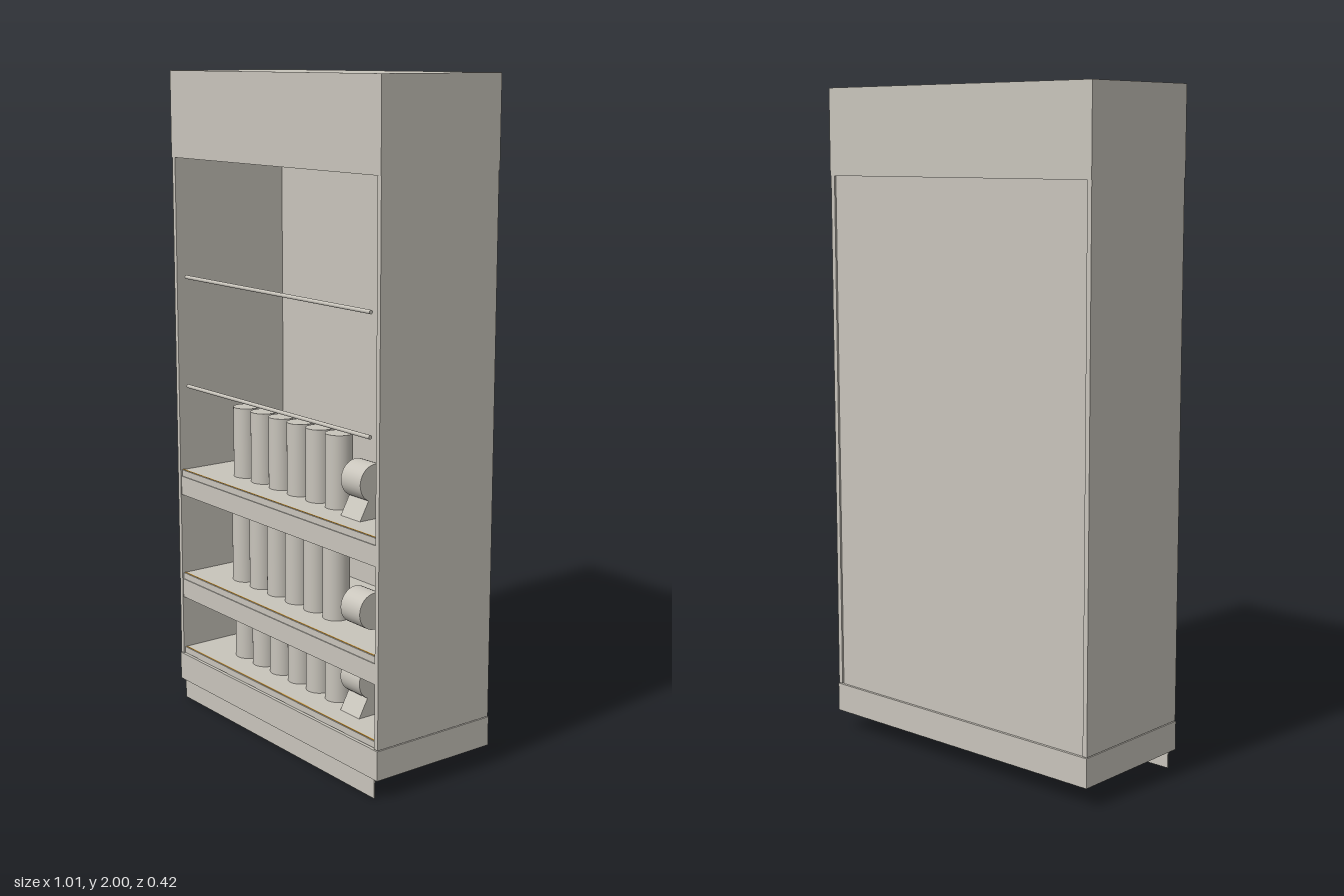
import * as THREE from 'three';

export function createModel() {
  const root = new THREE.Group();
  const stone = new THREE.MeshStandardMaterial({ color: 0xc8c4bb });
  stone.name = 'warm grey';
  const gold = new THREE.MeshStandardMaterial({ color: 0xc8963c });
  gold.name = 'gold trim';

  const add = (name, geometry, x, y, z, parent = root, material = stone) => {
    const mesh = new THREE.Mesh(geometry, material);
    mesh.name = name;
    mesh.position.set(x, y, z);
    parent.add(mesh);
    return mesh;
  };
  // Box given by its lower and upper limits on each axis
  const box = (name, x0, x1, y0, y1, z0, z1, parent, material) =>
    add(name, new THREE.BoxGeometry(x1 - x0, y1 - y0, z1 - z0),
      (x0 + x1) / 2, (y0 + y1) / 2, (z0 + z1) / 2, parent, material);

  // Cabinet shell
  box('header', -0.505, 0.505, 1.74, 2, -0.21, 0.21);
  box('base', -0.505, 0.505, 0.06, 0.148, -0.21, 0.21);
  box('kickPlate', -0.485, 0.485, 0, 0.06, 0.2, 0.205);
  box('backPanel', -0.49, 0.49, 0.148, 1.74, -0.202, -0.194);
  for (const s of [-1, 1]) {
    const side = box('sidePanel', -0.0075, 0.0075, 0.15, 1.74, -0.208, 0.208);
    side.position.x = s * 0.4965;
  }

  // Slim front rails
  for (const y of [1.035, 1.377]) {
    const rail = add('rail', new THREE.CylinderGeometry(0.006, 0.006, 0.905, 12), 0, y, 0.198);
    rail.rotation.z = Math.PI / 2;
  }

  // Shelves with their goods
  const canGeometry = new THREE.CylinderGeometry(0.041, 0.041, 0.22, 32);
  const rollGeometry = new THREE.CylinderGeometry(0.055, 0.055, 0.088, 32).rotateZ(Math.PI / 2);
  const standProfile = new THREE.Shape([
    new THREE.Vector2(-0.055, 0), new THREE.Vector2(0.055, 0),
    new THREE.Vector2(0.022, 0.06), new THREE.Vector2(-0.022, 0.06),
  ]);
  const standGeometry = new THREE.ExtrudeGeometry(standProfile, { depth: 0.088, bevelEnabled: false })
    .rotateY(Math.PI / 2).translate(-0.044, 0, 0);

  const shelves = [
    { top: 0.17, firstCan: -0.305, rollY: 0.275, stand: true, apron: false },
    { top: 0.42, firstCan: -0.317, rollY: 0.485, stand: false, apron: true },
    { top: 0.76, firstCan: -0.305, rollY: 0.865, stand: true, apron: true },
  ];
  for (const { top, firstCan, rollY, stand, apron } of shelves) {
    const shelf = new THREE.Group();
    shelf.name = 'shelf';
    root.add(shelf);
    box('shelfBoard', -0.488, 0.488, top - 0.02, top, -0.194, 0.198, shelf);
    box('shelfLip', -0.488, 0.488, top - 0.02, top, 0.198, 0.203, shelf);
    box('shelfTrim', -0.488, 0.488, top, top + 0.001, 0.195, 0.2, shelf, gold);
    if (apron) box('shelfApron', -0.488, 0.488, top - 0.08, top - 0.02, 0.197, 0.206, shelf);

    for (let i = 0; i < 6; i++) {
      add('can', canGeometry, firstCan + i * 0.0935, top + 0.11, 0.08, shelf);
    }
    add('roll', rollGeometry, 0.286, rollY, 0.08, shelf);
    if (stand) add('rollStand', standGeometry, 0.286, top, 0.08, shelf);
  }
  return root;
}
